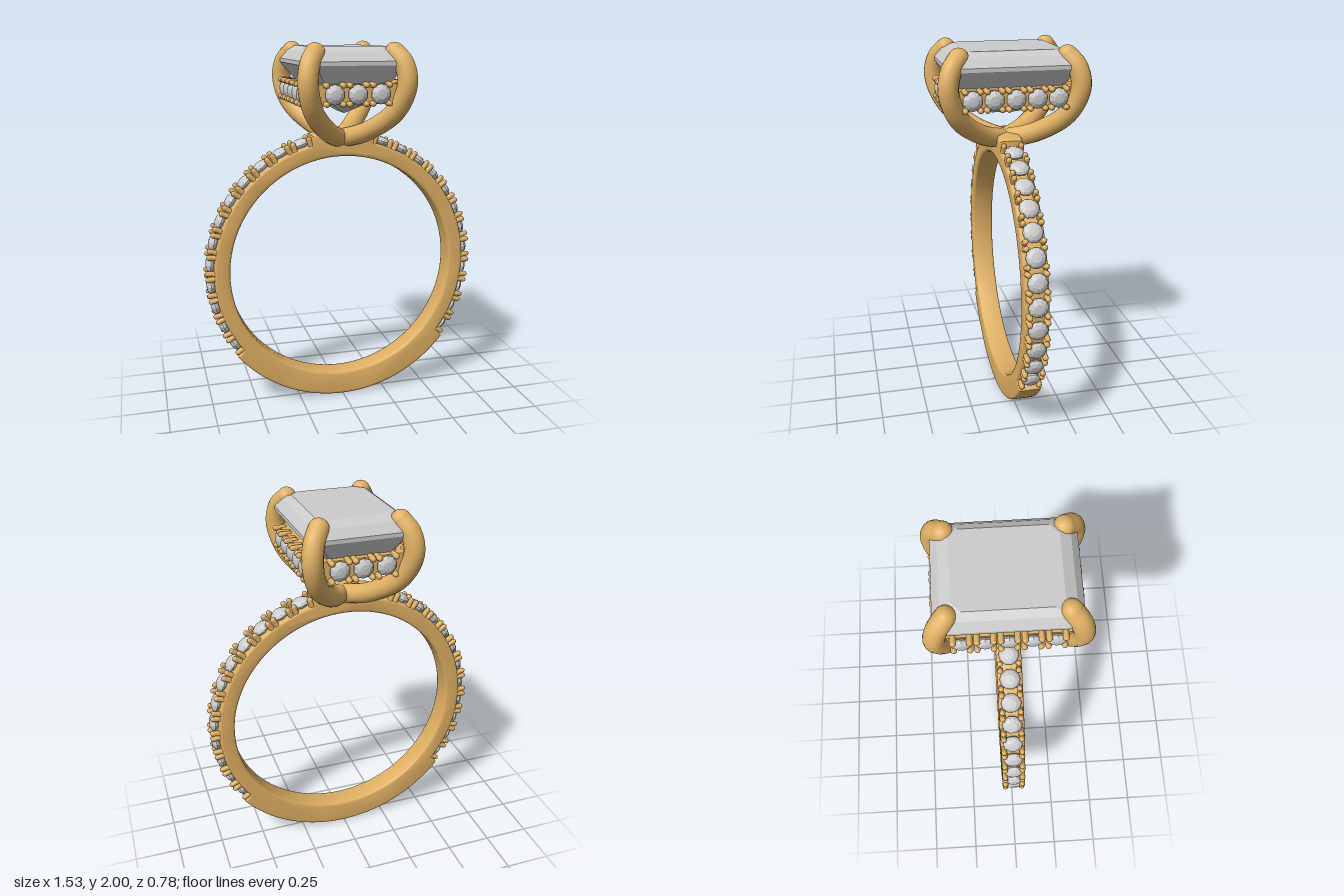
import * as THREE from 'three';
import { toCreasedNormals } from 'three/addons/utils/BufferGeometryUtils.js';

const gold = new THREE.MeshStandardMaterial({ color: 0xe0b064 });
const stone = new THREE.MeshStandardMaterial({ color: 0xcccccc, flatShading: true });

const CENTRE_Y = 0.766, INNER = 0.63, OUTER = 0.766, SEAT = 0.716;
const FIRST = -33, STEP = 9.55, COUNT = 12;

function add(parent, geometry, material, name) {
  const mesh = new THREE.Mesh(geometry, material);
  mesh.name = name;
  parent.add(mesh);
  return mesh;
}

// Small round-cut stone, table facing +y, girdle at y = 0
const smallStone = new THREE.LatheGeometry(
  [[0, -0.045], [0.05, -0.006], [0.052, 0.002], [0.044, 0.013], [0.026, 0.023], [0, 0.025]]
    .map(([r, y]) => new THREE.Vector2(r, y)), 10);
const bead = new THREE.CapsuleGeometry(0.015, 0.045, 4, 8);

// One stone with four bead prongs at its corners
function makeSetting(name, size = 1, halfPitch = 0.0615) {
  const group = new THREE.Group();
  group.name = name;
  add(group, smallStone, stone, 'smallStone').scale.setScalar(size);
  for (const sx of [-1, 1]) for (const sz of [-1, 1]) {
    add(group, bead, gold, 'beadProng').position.set(sx * (halfPitch - 0.0165), -0.008, sz * 0.046);
  }
  return group;
}

// Band outline, lowered where the stones are seated
function makeBand() {
  const band = new THREE.Group();
  band.name = 'band';
  const low = FIRST - STEP / 2, high = FIRST + STEP * (COUNT - 0.5);
  const outline = [];
  for (let deg = 0; deg < 360; deg++) {
    const a = deg * Math.PI / 180;
    const rise = Math.asin(Math.sin(a)) * 180 / Math.PI;
    const r = rise > low && rise < high ? SEAT : OUTER;
    outline.push(new THREE.Vector2(r * Math.cos(a), r * Math.sin(a)));
  }
  const shape = new THREE.Shape(outline);
  shape.holes.push(new THREE.Path().absarc(0, 0, INNER, 0, Math.PI * 2, true));
  const bevel = 0.014;
  const geometry = new THREE.ExtrudeGeometry(shape, {
    depth: 0.126 - 2 * bevel, curveSegments: 60,
    bevelEnabled: true, bevelSize: bevel, bevelThickness: bevel, bevelOffset: -bevel, bevelSegments: 3,
  });
  geometry.translate(0, 0, -0.063 + bevel);
  add(band, toCreasedNormals(geometry, 0.7), gold, 'shank');

  // Stones up both sides
  for (const side of [-1, 1]) for (let i = 0; i < COUNT; i++) {
    const a = (FIRST + STEP * i) * Math.PI / 180;
    const setting = makeSetting('bandSetting');
    setting.position.set(side * 0.733 * Math.cos(a), 0.733 * Math.sin(a), 0);
    setting.rotation.z = side * (a - Math.PI / 2);
    band.add(setting);
  }
  band.position.y = CENTRE_Y;
  return band;
}

// Rectangular step-cut stone lofted through cut-corner rectangles
function makeCentreStone() {
  const layers = [ // y, half width, half depth, corner cut
    [1.63, 0.004, 0.07, 0.002], [1.69, 0.1, 0.215, 0.03], [1.80, 0.205, 0.285, 0.045],
    [1.885, 0.272, 0.338, 0.055], [1.905, 0.272, 0.338, 0.055],
    [1.95, 0.238, 0.302, 0.05], [1.975, 0.2, 0.25, 0.045],
  ];
  const positions = [], index = [];
  for (const [y, w, d, c] of layers) {
    for (const [x, z] of [[w, d - c], [w, c - d], [w - c, -d], [c - w, -d],
      [-w, c - d], [-w, d - c], [c - w, d], [w - c, d]]) positions.push(x, y, z);
  }
  for (let k = 0; k < layers.length - 1; k++) for (let i = 0; i < 8; i++) {
    const a = k * 8 + i, b = k * 8 + (i + 1) % 8;
    index.push(a, b, b + 8, a, b + 8, a + 8);
  }
  const top = (layers.length - 1) * 8;
  for (let i = 1; i < 7; i++) {
    index.push(0, i + 1, i);
    index.push(top, top + i, top + i + 1);
  }
  const geometry = new THREE.BufferGeometry();
  geometry.setAttribute('position', new THREE.Float32BufferAttribute(positions, 3));
  geometry.setIndex(index);
  const flat = geometry.toNonIndexed();
  flat.computeVertexNormals();
  return flat;
}

// Frame of small stones beneath the centre stone
function makeHalo() {
  const halo = new THREE.Group();
  halo.name = 'halo';
  const rect = (P, w, d) => new P([[-w, -d], [w, -d], [w, d], [-w, d]].map(p => new THREE.Vector2(...p)));
  const shape = rect(THREE.Shape, 0.25, 0.315);
  shape.holes.push(rect(THREE.Path, 0.195, 0.26));
  const rail = new THREE.ExtrudeGeometry(shape, { depth: 0.1, bevelEnabled: false });
  rail.rotateX(-Math.PI / 2).translate(0, -0.05, 0);
  add(halo, rail, gold, 'haloRail');
  for (let k = 0; k < 4; k++) {
    const face = new THREE.Group();
    face.name = 'haloSide';
    face.rotation.y = k * Math.PI / 2;
    const [n, pitch, out] = k % 2 ? [5, 0.109, 0.262] : [3, 0.119, 0.327];
    for (let i = 0; i < n; i++) {
      const setting = makeSetting('haloSetting', 0.98, pitch / 2);
      setting.position.set((i - (n - 1) / 2) * pitch, 0, out);
      setting.rotation.x = Math.PI / 2;
      face.add(setting);
    }
    halo.add(face);
  }
  halo.position.y = 1.745;
  return halo;
}

// Four curved claws rising from the top of the band
function makeClaws() {
  const claws = new THREE.Group();
  claws.name = 'claws';
  for (const sx of [-1, 1]) for (const sz of [-1, 1]) {
    const points = [[0, 1.485, 0], [0.105, 1.54, 0.15], [0.215, 1.655, 0.285], [0.255, 1.79, 0.336],
      [0.242, 1.89, 0.318], [0.205, 1.945, 0.275]]
      .map(([x, y, z]) => new THREE.Vector3(sx * x, y, sz * z));
    const claw = new THREE.Group();
    claw.name = 'claw';
    add(claw, new THREE.TubeGeometry(new THREE.CatmullRomCurve3(points), 40, 0.052, 16), gold, 'clawArm');
    add(claw, new THREE.SphereGeometry(0.052, 16, 12), gold, 'clawTip').position.copy(points[5]);
    claws.add(claw);
  }
  add(claws, new THREE.SphereGeometry(0.055, 16, 12), gold, 'clawBase').position.y = 1.485;
  return claws;
}

export function createModel() {
  const ring = new THREE.Group();
  ring.name = 'ring';
  ring.add(makeBand(), makeHalo(), makeClaws());
  add(ring, makeCentreStone(), stone, 'centreStone');
  return ring;
}
